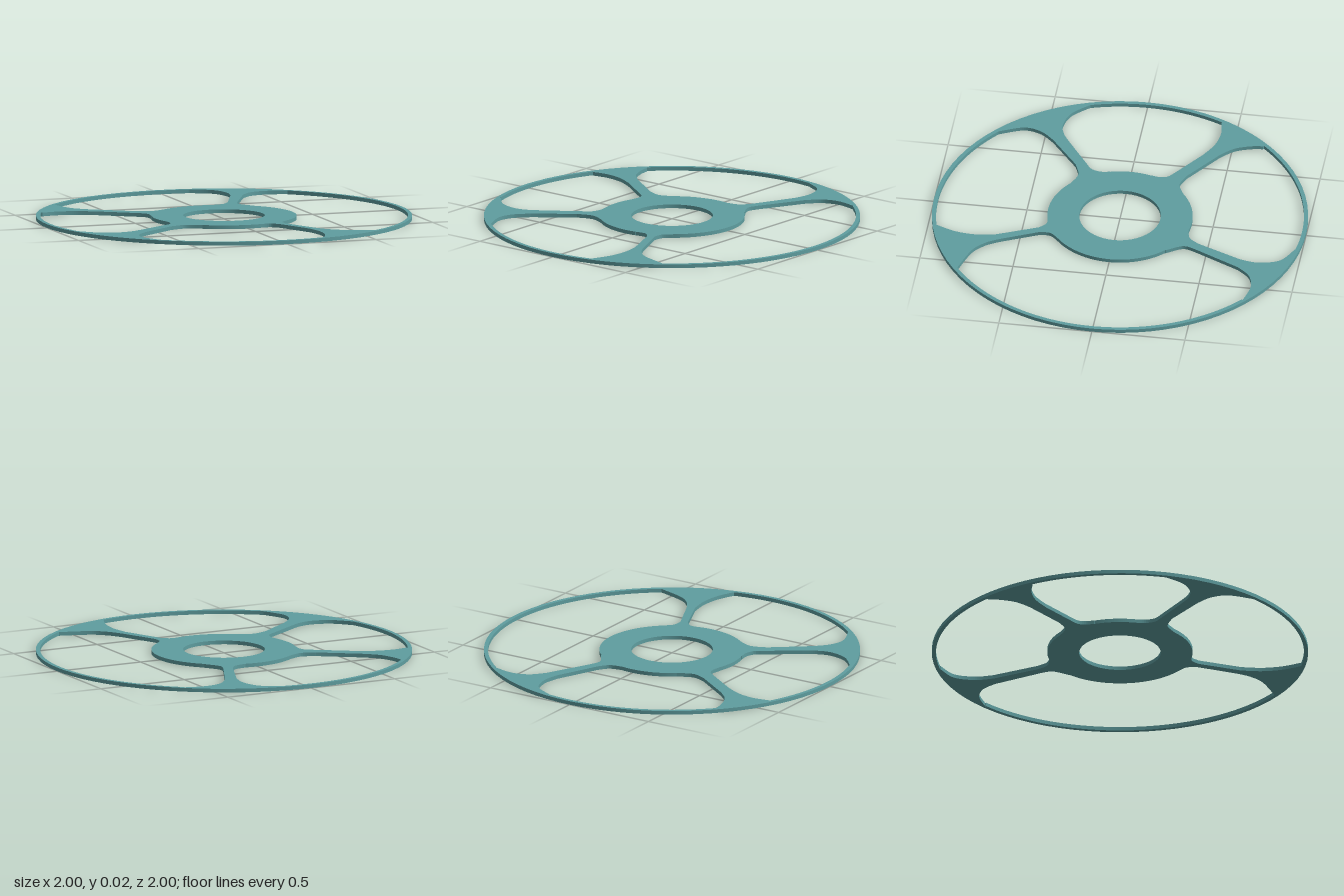
import * as THREE from 'three';
import { toCreasedNormals } from 'three/addons/utils/BufferGeometryUtils.js';

const THICKNESS = 0.02, RIM = 0.978, HUB = 0.386, BORE = 0.217;

// Each window: fillets met going inward along one spoke (rim, hub),
// then outward along the next spoke (hub, rim).
const WINDOWS = [
  { // right
    inward: [[[0.632, 0.755], [0.514, 0.78], [0.418, 0.755], [0.353, 0.686]],
      [[0.23, 0.434], [0.215, 0.37], [0.265, 0.285]]],
    outward: [[[0.25, -0.295], [0.208, -0.34], [0.204, -0.396]],
      [[0.3, -0.605], [0.345, -0.675], [0.42, -0.735], [0.578, -0.787]]],
  },
  { // back
    inward: [[[-0.712, 0.66], [-0.7, 0.59], [-0.665, 0.51], [-0.6, 0.444]],
      [[-0.396, 0.3], [-0.316, 0.273], [-0.236, 0.305]]],
    outward: [[[0.07, 0.38], [0.139, 0.396], [0.182, 0.45]],
      [[0.284, 0.69], [0.297, 0.79], [0.26, 0.9], [0.155, 0.963]]],
  },
  { // left
    inward: [[[-0.932, -0.3], [-0.845, -0.387], [-0.745, -0.418], [-0.664, -0.402], [-0.584, -0.354]],
      [[-0.418, -0.24], [-0.38, -0.21], [-0.364, -0.16], [-0.371, -0.11]]],
    outward: [[[-0.371, 0.115], [-0.364, 0.16], [-0.375, 0.2], [-0.407, 0.228]],
      [[-0.595, 0.36], [-0.69, 0.407], [-0.79, 0.424], [-0.878, 0.412]]],
  },
  { // front
    inward: [[[0.225, -0.953], [0.265, -0.85], [0.278, -0.74], [0.262, -0.63]],
      [[0.166, -0.41], [0.123, -0.375], [0.06, -0.381]]],
    outward: [[[-0.236, -0.305], [-0.32, -0.273], [-0.407, -0.3]],
      [[-0.6, -0.45], [-0.664, -0.525], [-0.684, -0.62], [-0.632, -0.745]]],
  },
];

const angle = ([x, y]) => Math.atan2(y, x);

// Closed outline of the opening between two spokes
function windowPath({ inward, outward }) {
  const path = new THREE.Path();
  const fillet = (points) => {
    path.lineTo(...points[0]);
    path.splineThru(points.slice(1).map((p) => new THREE.Vector2(...p)));
  };
  path.moveTo(...inward[0][0]);
  path.splineThru(inward[0].slice(1).map((p) => new THREE.Vector2(...p)));
  fillet(inward[1]);
  path.absarc(0, 0, HUB, angle(inward[1].at(-1)), angle(outward[0][0]), true);
  outward.forEach(fillet);
  path.absarc(0, 0, RIM, angle(outward[1].at(-1)), angle(inward[0][0]), false);
  return path;
}

export function createModel() {
  const group = new THREE.Group();
  group.name = 'spokedDisc';

  // Disc outline with centre bore and four windows
  const disc = new THREE.Shape().absarc(0, 0, 1, 0, Math.PI * 2, false);
  const bore = new THREE.Path().absarc(0, 0, BORE, 0, Math.PI * 2, true);
  disc.holes.push(bore, ...WINDOWS.map(windowPath));

  // Thin plate laid flat on the ground
  const geometry = new THREE.ExtrudeGeometry(disc, {
    depth: THICKNESS, bevelEnabled: false, curveSegments: 40,
  });
  geometry.rotateX(-Math.PI / 2);

  const plate = new THREE.Mesh(
    toCreasedNormals(geometry, Math.PI / 6),
    new THREE.MeshStandardMaterial({ color: 0x5f9ea0 }),
  );
  plate.name = 'spokedWheelPlate';
  group.add(plate);
  return group;
}
